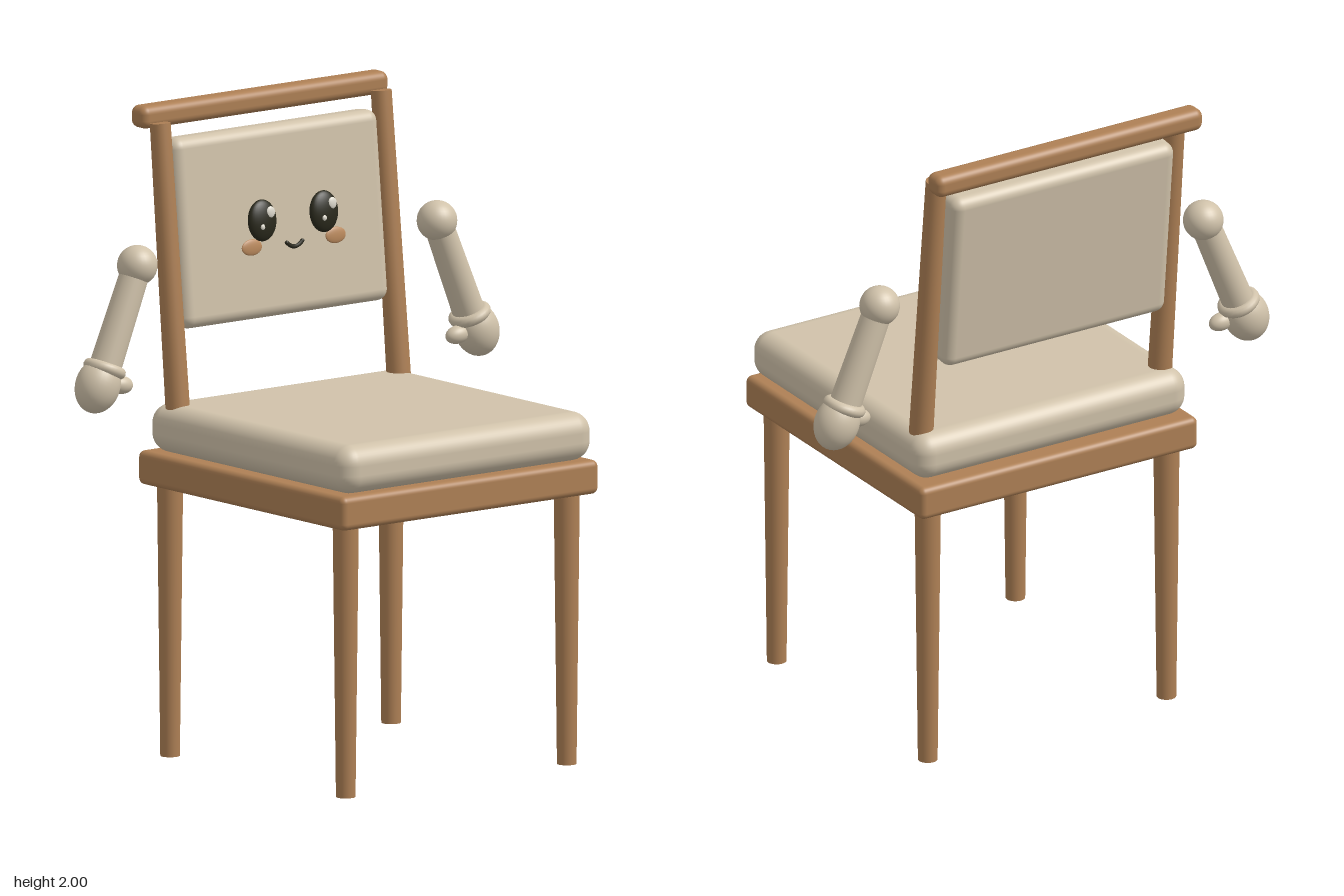
import * as THREE from 'three';
import { RoundedBoxGeometry } from 'three/addons/geometries/RoundedBoxGeometry.js';

export function createModel() {
  const model = new THREE.Group();
  model.name = 'chair';

  const mat = (name, color) => {
    const m = new THREE.MeshStandardMaterial({ color });
    m.name = name;
    return m;
  };
  const wood = mat('wood', 0xae8055);
  const fabric = mat('fabric', 0xd0c2aa);
  const dark = mat('dark', 0x2a291c);
  const blush = mat('blush', 0xba895c);
  const shine = mat('shine', 0xdcd8cc);

  const add = (parent, name, geometry, material, x = 0, y = 0, z = 0) => {
    const mesh = new THREE.Mesh(geometry, material);
    mesh.name = name;
    mesh.position.set(x, y, z);
    parent.add(mesh);
    return mesh;
  };
  const box = (w, h, d, r) => new RoundedBoxGeometry(w, h, d, 5, r);
  const ball = (rx, ry, rz) => new THREE.SphereGeometry(1, 32, 20).scale(rx, ry, rz);
  const up = new THREE.Vector3(0, 1, 0);
  // Tapered rod between two points
  const rod = (parent, name, a, b, rA, rB, material) => {
    const dir = b.clone().sub(a);
    const mid = a.clone().add(b).multiplyScalar(0.5);
    const mesh = add(parent, name, new THREE.CylinderGeometry(rB, rA, dir.length(), 24), material, mid.x, mid.y, mid.z);
    mesh.quaternion.setFromUnitVectors(up, dir.normalize());
    return mesh;
  };
  const v = (x, y, z) => new THREE.Vector3(x, y, z);
  const lean = -0.1;

  // Seat
  add(model, 'seatFrame', box(1, 0.105, 1.005, 0.02), wood, 0, 0.89, 0.032);
  add(model, 'seatCushion', box(0.98, 0.15, 0.98, 0.06), fabric, 0, 1.017, 0.045);

  // Backrest
  add(model, 'topRail', box(0.96, 0.07, 0.075, 0.025), wood, 0, 1.965, -0.497);
  add(model, 'backCushion', box(0.8, 0.585, 0.098, 0.035), fabric, 0, 1.605, -0.43).rotation.x = lean;

  for (const s of [1, -1]) {
    const side = s > 0 ? 'left' : 'right';
    // Legs and back posts
    rod(model, side + 'FrontLeg', v(s * 0.43, 0, 0.46), v(s * 0.43, 0.85, 0.46), 0.03, 0.04, wood);
    rod(model, side + 'BackLeg', v(s * 0.43, 0, -0.395), v(s * 0.43, 0.85, -0.395), 0.03, 0.04, wood);
    rod(model, side + 'BackPost', v(s * 0.43, 1.0, -0.35), v(s * 0.43, 1.95, -0.443), 0.038, 0.032, wood);

    // Arm: shoulder, sleeve, cuff, hand and thumb
    const arm = new THREE.Group();
    arm.name = side + 'Arm';
    model.add(arm);
    const z = -0.363;
    const shoulder = v(s * 0.583, 1.54, z);
    const wrist = v(s * 0.71, 1.235, z);
    add(arm, 'shoulder', ball(0.062, 0.062, 0.062), fabric, shoulder.x, shoulder.y, z);
    const sleeve = rod(arm, 'sleeve', wrist, shoulder, 0.05, 0.045, fabric);
    const cuff = add(arm, 'cuff', new THREE.TorusGeometry(0.049, 0.018, 12, 32).rotateX(Math.PI / 2), fabric, wrist.x, wrist.y, z);
    cuff.quaternion.copy(sleeve.quaternion);
    const hand = add(arm, 'hand', ball(0.071, 0.086, 0.066), fabric, s * 0.737, 1.186, z);
    hand.quaternion.copy(sleeve.quaternion);
    add(arm, 'thumb', ball(0.042, 0.028, 0.028), fabric, s * 0.655, 1.18, z + 0.01).rotation.z = s * 0.15;
  }

  // Face, leaning with the backrest
  const face = new THREE.Group();
  face.name = 'face';
  face.position.set(0, 1.6, -0.332);
  face.rotation.x = lean;
  model.add(face);
  for (const s of [1, -1]) {
    const side = s > 0 ? 'left' : 'right';
    add(face, side + 'Eye', ball(0.053, 0.064, 0.022), dark, s * 0.12, 0.028, 0);
    add(face, side + 'EyeShine', ball(0.016, 0.018, 0.006), shine, s * 0.12 + 0.021, 0.052, 0.018);
    add(face, side + 'EyeGlint', ball(0.008, 0.009, 0.005), shine, s * 0.12 - 0.014, 0.01, 0.02);
    add(face, side + 'Cheek', ball(0.039, 0.025, 0.007), blush, s * 0.163, -0.05, -0.004);
  }
  const smile = new THREE.QuadraticBezierCurve3(v(-0.03, -0.051, 0), v(0, -0.08, 0), v(0.03, -0.051, 0));
  add(face, 'smile', new THREE.TubeGeometry(smile, 20, 0.0065, 8), dark);
  for (const s of [1, -1]) add(face, 'smileEnd', ball(0.0065, 0.0065, 0.0065), dark, s * 0.03, -0.051, 0);

  return model;
}
